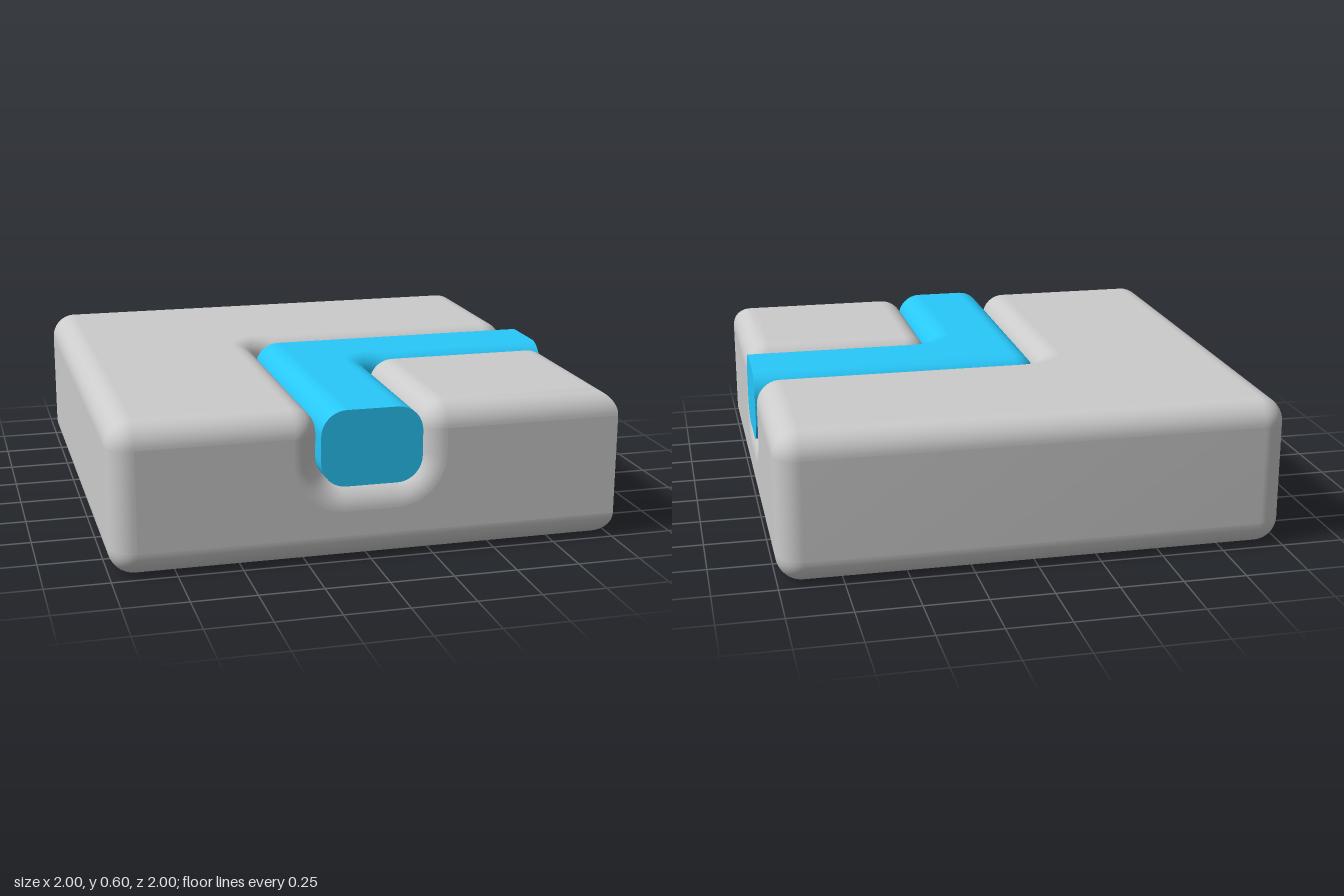
import * as THREE from 'three';
import { mergeGeometries, toCreasedNormals } from 'three/addons/utils/BufferGeometryUtils.js';

const R = 0.1; // radius of every rounded edge
const N = 12; // segments per quarter round

// Corners: [x, z, inset direction x, inset direction z, kind]
// kind: 1 = rounded outside corner, -1 = rounded inside corner, 0 = sharp
const SLAB = [[-1, 1, 1, -1, 1], [1, 1, -1, -1, 0], [1, -1, -1, 1, 1], [-1, -1, 1, 1, 1]];
const ELBOW_PAD = [[-1, 1, 1, -1, 1], [-0.2, 1, -1, -1, 1], [-0.2, -0.2, -1, -1, -1],
  [1, -0.2, -1, -1, 1], [1, -1, -1, 1, 1], [-1, -1, 1, 1, 1]];
const CORNER_PAD = [[0.2, 1, 1, -1, 1], [1, 1, -1, -1, 0], [1, 0.2, -1, 1, 1], [0.2, 0.2, 1, 1, 1]];
const PIPE = [[-0.2, 1, 1, 0, 0], [0.2, 1, -1, 0, 0], [0.2, 0.2, -1, -1, -1],
  [1, 0.2, 0, -1, 0], [1, -0.2, 0, 1, 0], [-0.2, -0.2, 1, 1, 1]];

// Horizontal outline at height y, inset by d
function outline(corners, y, d) {
  const n = corners.length, points = [];
  corners.forEach(([x, z, sx, sz, kind], i) => {
    const p = new THREE.Vector2(x + sx * d, z + sz * d);
    if (kind === 0) return points.push(new THREE.Vector3(p.x, y, p.y));
    const toward = (c) => new THREE.Vector2(c[0] - x, c[1] - z).normalize();
    const a = toward(corners[(i + n - 1) % n]), b = toward(corners[(i + 1) % n]);
    const r = Math.max(0, R - kind * d);
    for (let k = 0; k <= N; k++) {
      const t = (k / N) * Math.PI / 2, c = 1 - Math.cos(t), s = 1 - Math.sin(t);
      points.push(new THREE.Vector3(p.x + r * (a.x * s + b.x * c), y, p.y + r * (a.y * s + b.y * c)));
    }
  });
  return points;
}

// Skin between successive rings of points
function loft(rings, closed = true) {
  const n = rings[0].length, index = [];
  for (let i = 0; i < rings.length - 1; i++) {
    for (let j = 0; j < (closed ? n : n - 1); j++) {
      const k = (j + 1) % n, a = i * n + j, b = i * n + k;
      index.push(a, b, b + n, a, b + n, a + n);
    }
  }
  const g = new THREE.BufferGeometry().setFromPoints(rings.flat());
  g.setIndex(index);
  return toCreasedNormals(g, 0.5);
}

function flat(points2) {
  const g = new THREE.ShapeGeometry(new THREE.Shape(points2)).toNonIndexed();
  g.deleteAttribute('uv');
  return g;
}

const topCap = (ring) => flat(ring.map((p) => new THREE.Vector2(p.x, -p.z)))
  .rotateX(-Math.PI / 2).translate(0, ring[0].y, 0);
const bottomCap = (ring) => flat(ring.map((p) => new THREE.Vector2(p.x, p.z)))
  .rotateX(Math.PI / 2).translate(0, ring[0].y, 0);

// Rings of a rounded edge, ending at height y: up = 1 for a top edge, -1 for a bottom edge
function roundedEdge(corners, y, up) {
  const rings = [];
  for (let k = 0; k <= N; k++) {
    const t = (k / N) * Math.PI / 2;
    rings.push(outline(corners, y - up * R * (1 - Math.sin(t)), R * (1 - Math.cos(t))));
  }
  return up > 0 ? rings : rings.reverse();
}

// U-shaped channel section widened by d, left to right
function channelSection(d) {
  const points = [[-0.2 - d, 0.5]];
  for (const [cx, start] of [[-0.1, Math.PI], [0.1, 1.5 * Math.PI]]) {
    for (let k = 0; k <= N; k++) {
      const t = start + (k / N) * Math.PI / 2;
      points.push([cx + (R + d) * Math.cos(t), 0.4 + (R + d) * Math.sin(t)]);
    }
  }
  points.push([0.2 + d, 0.5]);
  return points;
}

// Rounded rim where the channel opens through a side
function mouth() {
  const rings = [];
  for (let k = N; k >= 0; k--) {
    const t = (k / N) * Math.PI / 2;
    rings.push(channelSection(R * (1 - Math.cos(t)))
      .map(([x, y]) => new THREE.Vector3(x, y, 1 - R + R * Math.sin(t))));
  }
  return loft(rings, false);
}

// Flat side wall with the channel notch cut out of its top
function notchedWall(x0, x1) {
  const points = [[x0, 0.5], ...channelSection(R), [x1, 0.5], [x1, 0.1], [x0, 0.1]];
  return flat(points.map(([x, y]) => new THREE.Vector2(x, y))).translate(0, 0, 1);
}

export function createModel() {
  const group = new THREE.Group();
  const grey = new THREE.MeshStandardMaterial({ color: 0xcccccc });
  const blue = new THREE.MeshStandardMaterial({ color: 0x28c8fa });
  const add = (name, parts, material) => {
    const mesh = new THREE.Mesh(mergeGeometries(parts), material);
    mesh.name = name;
    group.add(mesh);
  };

  // Slab: rounded underside, plain left-over walls, two notched walls
  const bottom = roundedEdge(SLAB, 0, -1);
  const plainWall = (y) => {
    const ring = outline(SLAB, y, 0);
    return [...ring.slice(N + 2), ...ring.slice(0, N + 1)];
  };
  add('slab', [
    bottomCap(bottom[0]),
    loft(bottom),
    loft([plainWall(0.1), plainWall(0.5)], false),
    notchedWall(-0.9, 1),
    notchedWall(-1, 0.9).rotateY(Math.PI / 2),
    mouth(),
    mouth().rotateY(Math.PI / 2),
  ], grey);

  // Rounded top surfaces on both sides of the channel
  for (const [name, corners] of [['elbowTop', ELBOW_PAD], ['cornerTop', CORNER_PAD]]) {
    const rings = roundedEdge(corners, 0.6, 1);
    add(name, [loft(rings), topCap(rings[N])], grey);
  }

  // Elbow pipe lying in the channel
  const pipe = [...roundedEdge(PIPE, 0.3, -1), ...roundedEdge(PIPE, 0.6, 1)];
  add('elbowPipe', [bottomCap(pipe[0]), loft(pipe), topCap(pipe[pipe.length - 1])], blue);

  return group;
}
